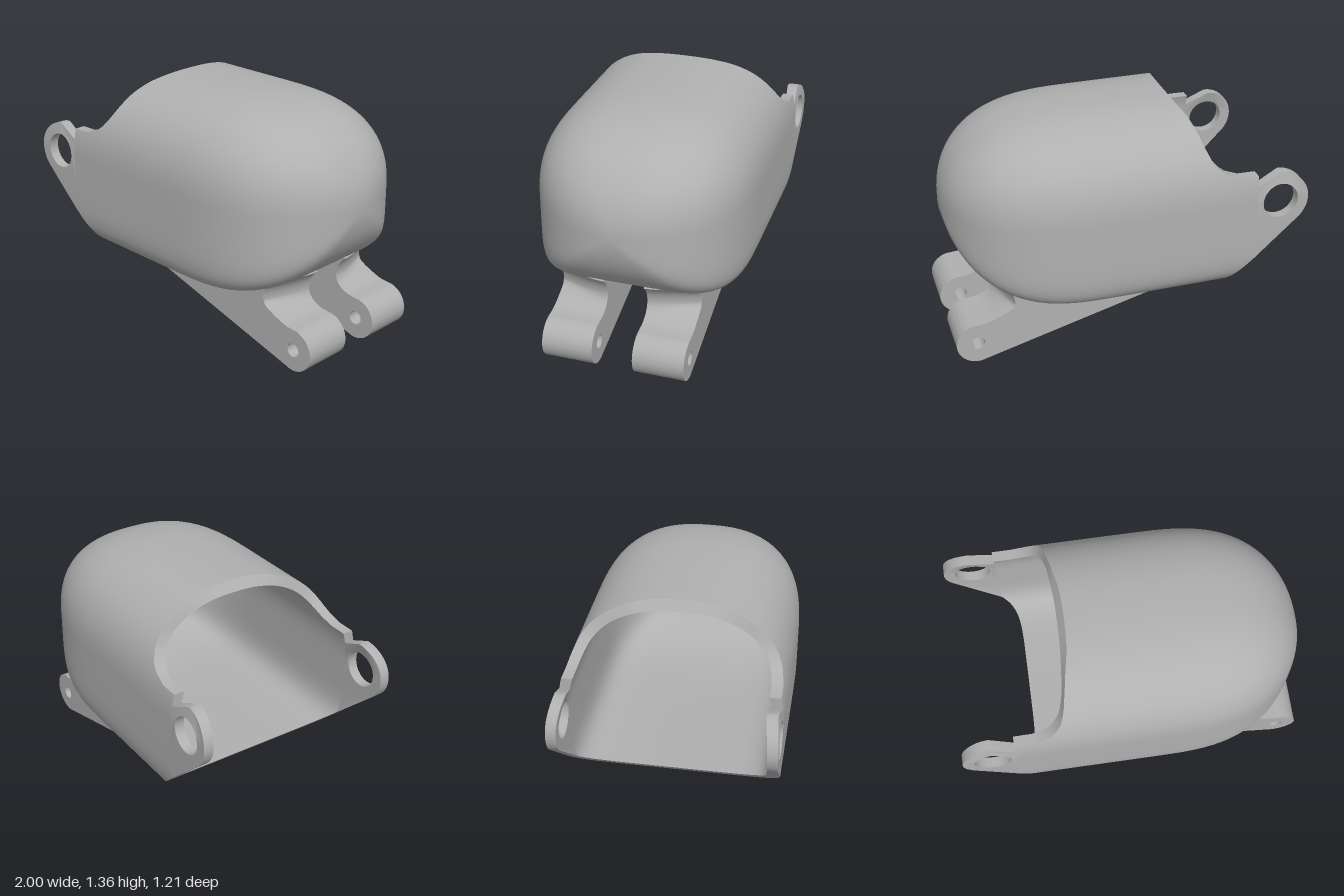
import * as THREE from 'three';
import { toCreasedNormals } from 'three/addons/utils/BufferGeometryUtils.js';

const CY = 0.85;             // height of the widest part of the shell
const SEAM = -0.7;           // x where the ear plates meet the shell
const EAR = { x: -0.835, y: 0.867, r: 0.167 };

// Cross-sections: half width, rise above and below CY, roundness, cap length
const OUTER = { w: 0.605, top: 0.51, bottom: 0.525, nTop: 2.5, nBottom: 7, cap: 0.88 };
const INNER = { w: 0.548, top: 0.455, bottom: 0.43, nTop: 2.5, nBottom: 6, cap: 0.82 };

// Half width of a section at height y
function widthAt(s, y) {
  const up = y > CY;
  const v = Math.min(1, Math.abs(y - CY) / (up ? s.top : s.bottom));
  const n = up ? s.nTop : s.nBottom;
  return s.w * Math.pow(1 - Math.pow(v, n), 1 / n);
}

// Angle on a section at height y
function angleAt(s, y) {
  const up = y > CY;
  const v = Math.abs(y - CY) / (up ? s.top : s.bottom);
  return (up ? 1 : -1) * Math.asin(Math.pow(v, (up ? s.nTop : s.nBottom) / 2));
}

// Closed ring of [z, y] points, bottom to top on +z and back down on -z
function sectionRing(s) {
  const keys = [-Math.PI / 2, angleAt(s, 0.515), 0, angleAt(s, 1.034), angleAt(s, 1.036), Math.PI / 2];
  const counts = [16, 8, 8, 1, 20];
  const half = [];
  counts.forEach((count, k) => {
    for (let i = 0; i < count; i++) half.push(keys[k] + (keys[k + 1] - keys[k]) * i / count);
  });
  half.push(Math.PI / 2);
  const pts = half.map(a => {
    const n = a > 0 ? s.nTop : s.nBottom;
    const z = s.w * Math.pow(Math.max(0, Math.cos(a)), 2 / n);
    const y = Math.pow(Math.abs(Math.sin(a)), 2 / n) * (a > 0 ? s.top : -s.bottom);
    return [z, CY + y];
  });
  const back = pts.slice(1, -1).reverse().map(([z, y]) => [-z, y]);
  return pts.concat(back);
}

// Edge of the open end, x for a height y
const BROW = [[-0.6, 1.035], [-0.53, 1.055], [-0.475, 1.095], [-0.435, 1.15],
  [-0.41, 1.21], [-0.39, 1.28], [-0.37, 1.325], [-0.34, 1.36]];
function openEdge(y) {
  if (y < 1.035) return Math.max(SEAM, -0.5 - (y - 0.325) * 1.06);
  for (let i = 1; i < BROW.length; i++) {
    const [x0, y0] = BROW[i - 1], [x1, y1] = BROW[i];
    if (y <= y1) return x0 + (x1 - x0) * (y - y0) / (y1 - y0);
  }
  return -0.34;
}

// Rows of the surface from the closed tip to the open end
function shellRows(s) {
  const ring = sectionRing(s), rows = [], CAP = 26, BODY = 4;
  for (let i = 0; i <= CAP; i++) {
    const a = Math.PI / 2 * (1 - i / CAP);
    const f = i === 0 ? 0 : Math.cos(a);
    const x = 0.1 + s.cap * Math.pow(Math.sin(a), 2 / 3);
    rows.push(ring.map(([z, y]) => [x, CY + (y - CY) * f, z * f]));
  }
  for (let i = 1; i <= BODY; i++) {
    rows.push(ring.map(([z, y]) => [0.1 + (openEdge(y) - 0.1) * i / BODY, y, z]));
  }
  return rows;
}

// Hollow shell: outside, rim and cavity as one surface
function shellGeometry() {
  const rows = shellRows(OUTER).concat(shellRows(INNER).reverse());
  const n = rows[0].length, index = [];
  for (let i = 0; i < rows.length - 1; i++) {
    for (let j = 0; j < n; j++) {
      const k = (j + 1) % n;
      const a = i * n + j, b = i * n + k, c = a + n, d = b + n;
      if (i > 0) index.push(a, b, c);
      if (i < rows.length - 2) index.push(b, d, c);
    }
  }
  const g = new THREE.BufferGeometry();
  g.setAttribute('position', new THREE.Float32BufferAttribute(rows.flat(2), 3));
  g.setIndex(index);
  return toCreasedNormals(g, 0.6);
}

function circleHole(x, y, r) {
  return new THREE.Path().absarc(x, y, r, 0, Math.PI * 2, true);
}

// Pierced ear plate that continues the side wall
function earGeometry(side) {
  const shape = new THREE.Shape();
  shape.moveTo(SEAM, 1.034);
  shape.absarc(EAR.x, EAR.y, EAR.r, Math.PI / 2, 3.96, false);
  for (let i = 0; i < 8; i++) shape.lineTo(SEAM, 0.514 + 0.52 * i / 8);
  shape.holes.push(circleHole(EAR.x, EAR.y, 0.103));
  const g = new THREE.ExtrudeGeometry(shape, { depth: 1, bevelEnabled: false, curveSegments: 32 });
  const p = g.attributes.position;
  for (let i = 0; i < p.count; i++) {
    const outside = (p.getZ(i) > 0.5) === (side > 0);
    p.setZ(i, side * widthAt(outside ? OUTER : INNER, p.getY(i)));
  }
  return toCreasedNormals(g, 0.6);
}

// Hinge lug with a pin hole and a notch that sweeps back towards the outside
function lugGeometry(side) {
  const shape = new THREE.Shape();
  shape.moveTo(-0.36, 0.335);
  shape.lineTo(0.846, 0.005);
  shape.absarc(0.877, 0.122, 0.122, -1.83, Math.PI / 2, false);
  shape.lineTo(0.83, 0.248);
  shape.bezierCurveTo(0.75, 0.265, 0.72, 0.31, 0.728, 0.36);
  shape.quadraticCurveTo(0.735, 0.42, 0.79, 0.46);
  shape.lineTo(0.68, 0.47);
  shape.lineTo(0.45, 0.39);
  shape.lineTo(-0.3, 0.36);
  shape.holes.push(circleHole(0.877, 0.122, 0.04));
  const g = new THREE.ExtrudeGeometry(shape, { depth: 0.29, steps: 8, bevelEnabled: false, curveSegments: 24 });
  g.translate(0, 0, side > 0 ? 0.115 : -0.405);
  const p = g.attributes.position;
  for (let i = 0; i < p.count; i++) {
    const x = p.getX(i);
    if (x < 0.5) continue;
    const out = Math.max(0, (Math.abs(p.getZ(i)) - 0.115) / 0.29);
    p.setX(i, x - 0.075 * Math.pow(out, 1.5) * THREE.MathUtils.smoothstep(p.getY(i), 0.25, 0.34));
  }
  return toCreasedNormals(g, 0.6);
}

export function createModel() {
  const grey = new THREE.MeshStandardMaterial({ color: 0xb0b0b0 });
  grey.name = 'plain grey';
  const group = new THREE.Group();
  group.name = 'hinged cap';
  const add = (name, geometry) => {
    const mesh = new THREE.Mesh(geometry, grey);
    mesh.name = name;
    group.add(mesh);
  };
  add('shell', shellGeometry());
  for (const side of [1, -1]) {
    const where = side > 0 ? 'front' : 'back';
    add(where + 'Ear', earGeometry(side));
    add(where + 'Lug', lugGeometry(side));
  }
  return group;
}
